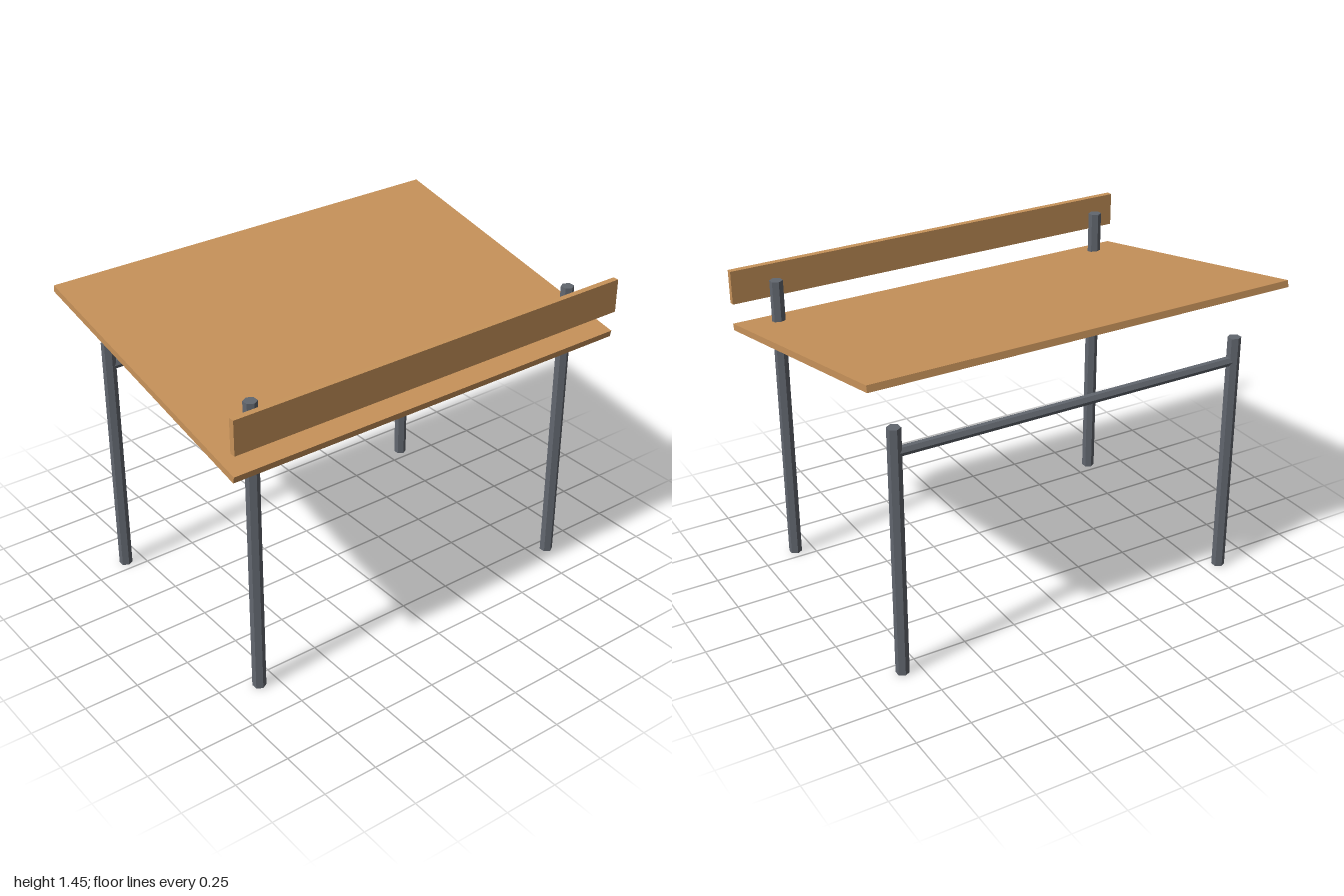
import * as THREE from 'three';

export function createModel() {
  const model = new THREE.Group();
  model.name = 'draftingTable';
  const wood = new THREE.MeshStandardMaterial({ color: 0xc8935a });
  const steel = new THREE.MeshStandardMaterial({ color: 0x62676f, flatShading: true });

  const add = (name, geometry, material, x, y, z) => {
    const mesh = new THREE.Mesh(geometry, material);
    mesh.name = name;
    mesh.position.set(x, y, z);
    model.add(mesh);
    return mesh;
  };
  const hexBar = (radius, length) => new THREE.CylinderGeometry(radius, radius, length, 6);

  // Tilted top, lower at the front
  const board = add('tabletop', new THREE.BoxGeometry(2, 0.03, 1.393), wood, 0, 1.294, -0.002);
  board.rotation.x = 0.198;

  // Upright ledge floating above the front edge
  add('frontLedge', new THREE.BoxGeometry(2, 0.155, 0.028), wood, 0, 1.347, 0.68);

  // Hexagonal legs; the front pair passes through the top
  const legX = 0.833, legZ = 0.557;
  for (const [side, sign] of [['left', 1], ['right', -1]]) {
    add(`${side}FrontLeg`, hexBar(0.03, 1.39), steel, sign * legX, 0.695, legZ);
    add(`${side}BackLeg`, hexBar(0.03, 1.17), steel, sign * legX, 0.585, -legZ);
  }

  // Rail joining the back legs
  const rail = add('backRail', hexBar(0.022, 2 * legX), steel, 0, 1.058, -legZ);
  rail.rotation.z = Math.PI / 2;

  return model;
}
